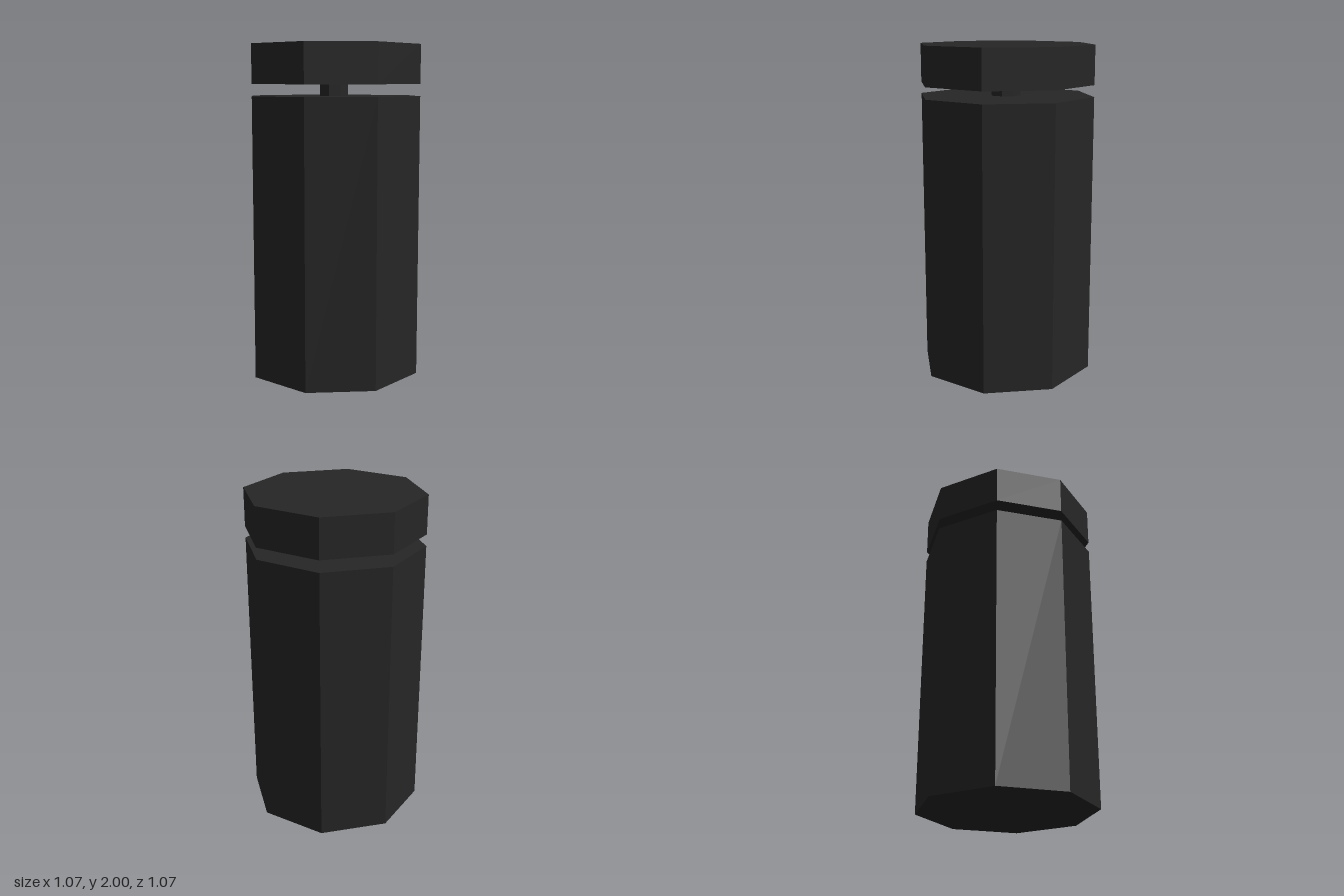
import * as THREE from 'three';

export function createModel() {
  const group = new THREE.Group();
  const material = new THREE.MeshStandardMaterial({ color: 0x262626, flatShading: true });

  // Upright eight-sided prism between two heights, corners on the axes
  function prism(name, radius, bottom, top) {
    const height = top - bottom;
    const mesh = new THREE.Mesh(new THREE.CylinderGeometry(radius, radius, height, 8), material);
    mesh.position.y = bottom + height / 2;
    mesh.name = name;
    group.add(mesh);
  }

  prism('body', 0.535, 0, 1.697);
  prism('neck', 0.09, 1.697, 1.767);
  prism('cap', 0.535, 1.767, 2);

  return group;
}
